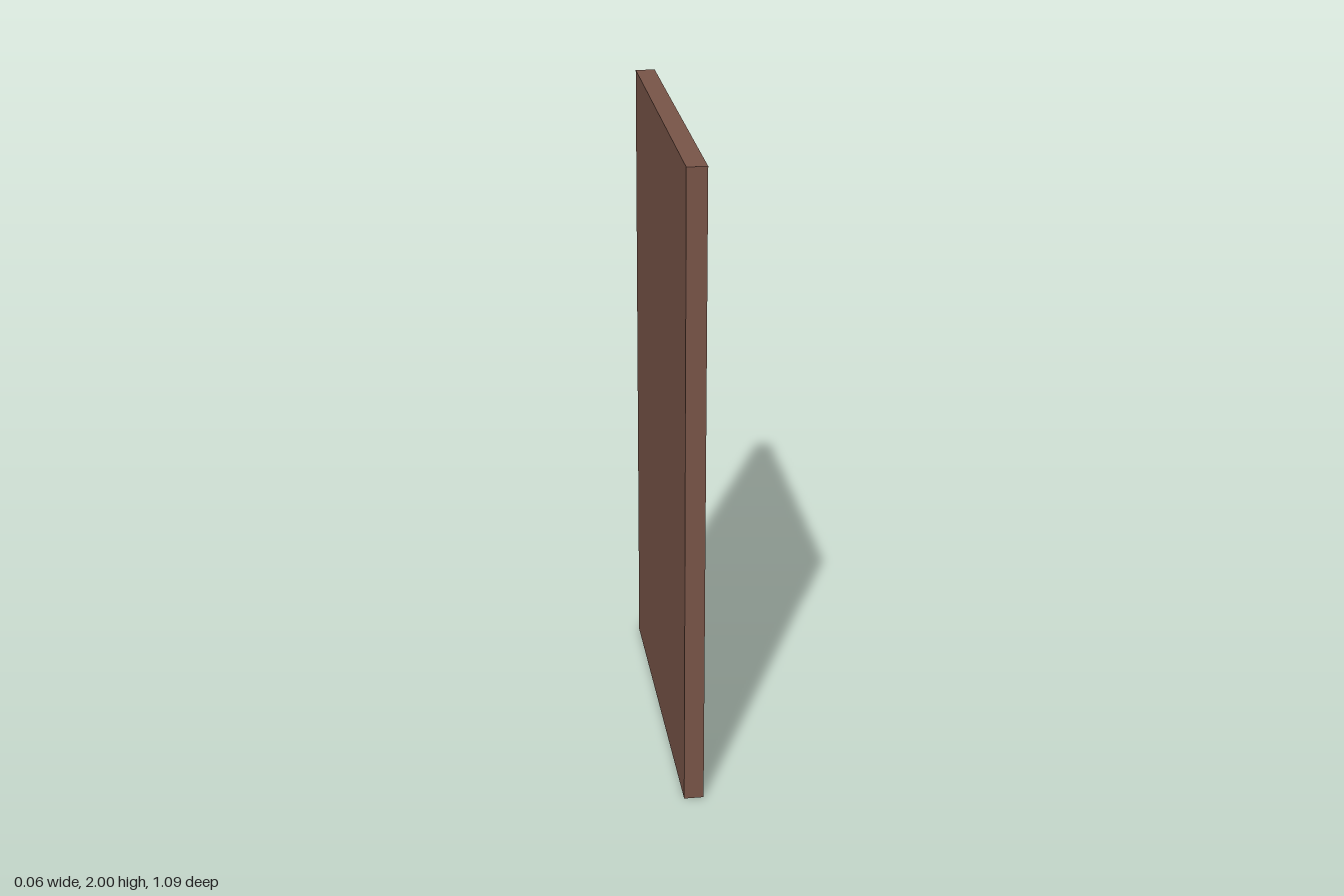
import * as THREE from 'three';

const WIDTH = 1.09, HEIGHT = 2;
const material = new THREE.MeshStandardMaterial({ color: 0x795548 });

// Traces a rectangle onto a Shape or Path
function rect(path, x0, y0, x1, y1) {
  path.moveTo(x0, y0).lineTo(x1, y0).lineTo(x1, y1).lineTo(x0, y1).closePath();
  return path;
}

// Full-size slab layer between two x positions, with rectangular openings
function layer(name, from, to, openings = []) {
  const shape = rect(new THREE.Shape(), -WIDTH / 2, 0, WIDTH / 2, HEIGHT);
  for (const o of openings) shape.holes.push(rect(new THREE.Path(), ...o));
  const geometry = new THREE.ExtrudeGeometry(shape, { depth: to - from, bevelEnabled: false });
  geometry.rotateY(Math.PI / 2).translate(from, 0, 0);
  const mesh = new THREE.Mesh(geometry, material);
  mesh.name = name;
  return mesh;
}

export function createModel() {
  const door = new THREE.Group();
  door.name = 'door';

  // Openings as [left, bottom, right, top] seen from the panelled side
  const field = [-0.47, 0.135, 0.47, 1.865];
  const panels = [-0.47, 0].map((x) => [x, 1, x + 0.235, 1.865]);

  door.add(
    layer('backSlab', -0.03, 0.006),                    // plain back, floor of the panels
    layer('panelLayer', 0.006, 0.026, panels),          // two tall sunken panels
    layer('borderFrame', 0.026, 0.03, [field]),         // thin raised border
  );
  return door;
}
